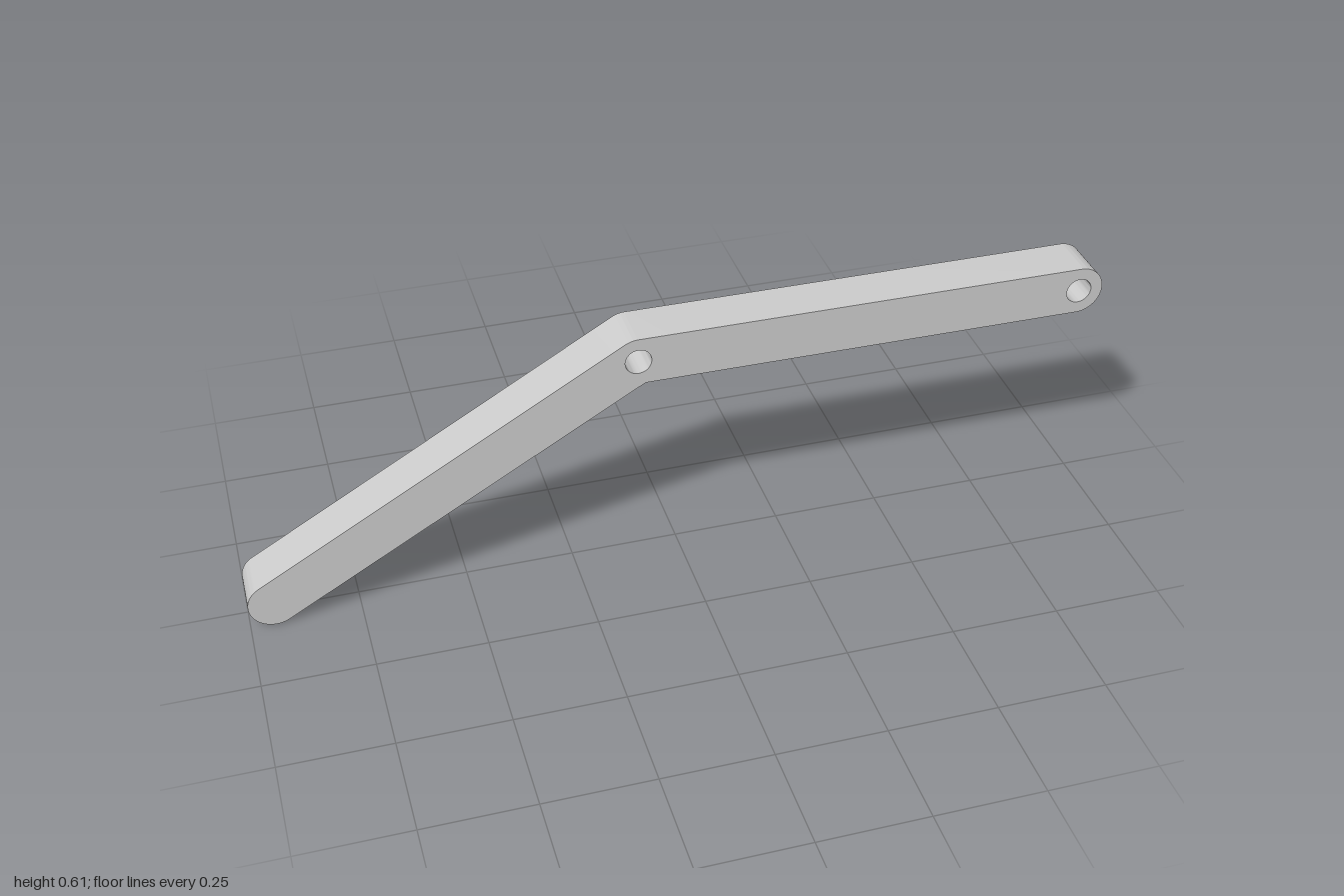
import * as THREE from 'three';
import { toCreasedNormals } from 'three/addons/utils/BufferGeometryUtils.js';

export function createModel() {
  const group = new THREE.Group();
  const r = 0.0575, holeR = 0.03, depth = 0.116;
  const right = new THREE.Vector2(1 - r, 0.549);
  const pivot = new THREE.Vector2(-0.099, 0.549);
  const left = new THREE.Vector2(-1 + r, r);
  const bend = Math.atan2(pivot.y - left.y, pivot.x - left.x);
  const q = Math.PI / 2;

  // Bent bar outline: round ends, rounded outer bend, sharp inner bend
  const outline = new THREE.Shape();
  outline.absarc(right.x, right.y, r, -q, q, false);
  outline.absarc(pivot.x, pivot.y, r, q, q + bend, false);
  outline.absarc(left.x, left.y, r, q + bend, 3 * q + bend, false);
  const inner = r / Math.cos(bend / 2);
  outline.lineTo(pivot.x + inner * Math.sin(bend / 2), pivot.y - inner * Math.cos(bend / 2));
  outline.closePath();

  // Pin holes at the bend and the right end
  for (const c of [pivot, right]) {
    outline.holes.push(new THREE.Path().absarc(c.x, c.y, holeR, 0, Math.PI * 2, true));
  }

  const geometry = new THREE.ExtrudeGeometry(outline, { depth, bevelEnabled: false, curveSegments: 24 });
  geometry.translate(0, 0, -depth / 2);
  const bar = new THREE.Mesh(
    toCreasedNormals(geometry, 0.4),
    new THREE.MeshStandardMaterial({ color: 0xcccccc })
  );
  bar.name = 'bentLeverArm';
  group.add(bar);
  return group;
}
